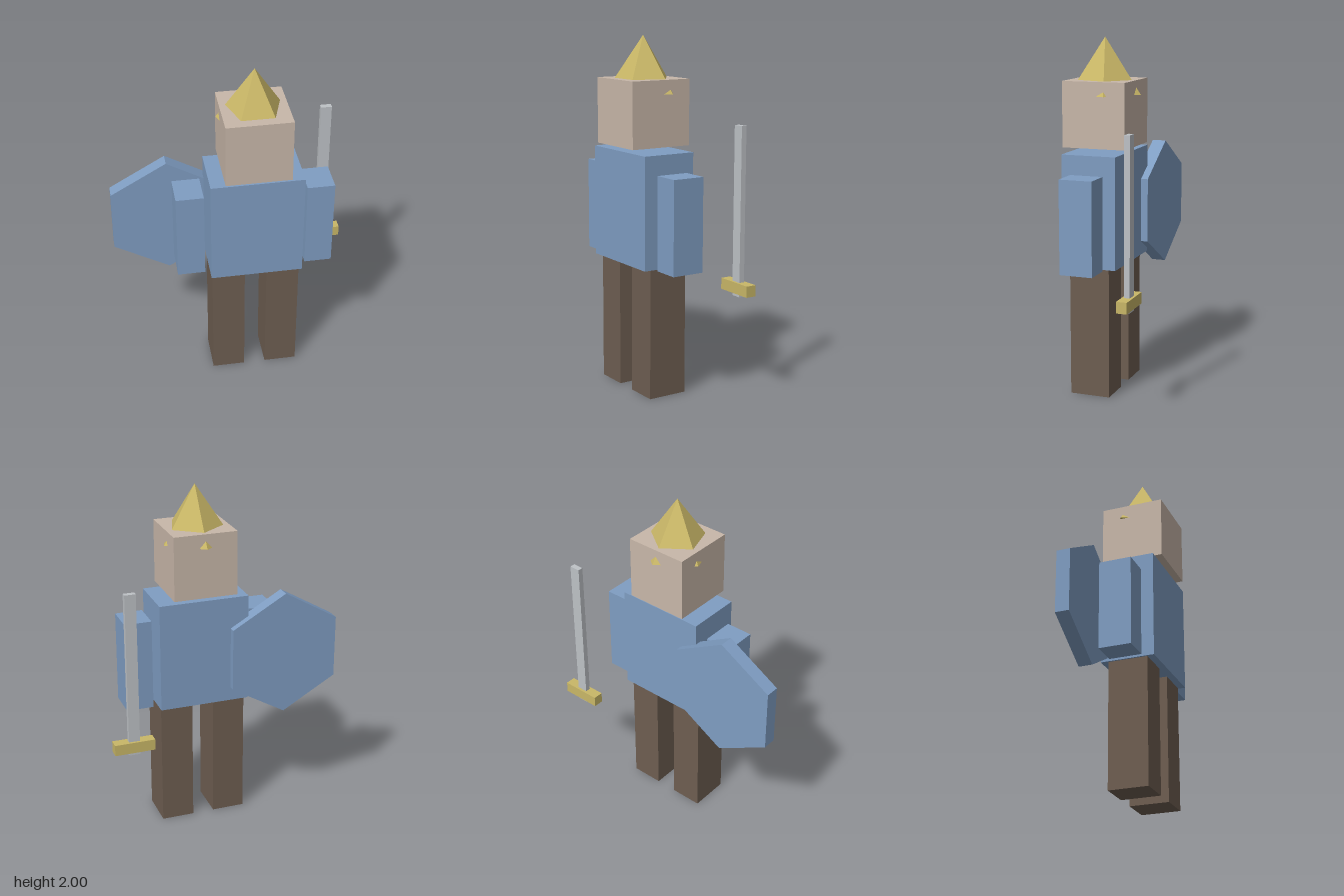
import * as THREE from 'three';

export function createModel() {
  const model = new THREE.Group();
  model.name = 'blockKnight';

  const material = (name, color) => {
    const m = new THREE.MeshStandardMaterial({ color });
    m.name = name;
    return m;
  };
  const blue = material('blue cloth', 0x7f9dc2);
  const brown = material('brown trousers', 0x6e5e51);
  const skin = material('skin', 0xc8b7a9);
  const gold = material('gold', 0xc9b767);
  const steel = material('steel', 0xbec2c6);
  gold.flatShading = true;
  blue.flatShading = true;

  const add = (name, geometry, mat, x, y, z, parent = model) => {
    const mesh = new THREE.Mesh(geometry, mat);
    mesh.name = name;
    mesh.position.set(x, y, z);
    parent.add(mesh);
    return mesh;
  };
  const box = (name, mat, w, h, d, x, y, z, parent) =>
    add(name, new THREE.BoxGeometry(w, h, d), mat, x, y, z, parent);

  // Body, mirrored about its own centre line
  const cx = 0.098, cz = 0.081;
  box('torso', blue, 0.525, 0.63, 0.315, cx, 1.055, cz);
  box('head', skin, 0.367, 0.367, 0.367, cx, 1.581, cz);
  for (const [side, s] of [['left', 1], ['right', -1]]) {
    box(side + 'Arm', blue, 0.157, 0.525, 0.189, cx + s * 0.369, 1.002, cz);
    box(side + 'Leg', brown, 0.189, 0.742, 0.231, cx + s * 0.158, 0.371, cz);
  }

  // Five-sided crown, its lower corners poking through the head
  const crown = add('crown', new THREE.ConeGeometry(0.21, 0.315, 5), gold, cx, 1.8425, cz);
  crown.rotation.y = Math.PI;

  // Hexagonal shield behind the right arm
  const shieldShape = new THREE.CylinderGeometry(0.366, 0.366, 0.08, 6).rotateX(Math.PI / 2);
  add('shield', shieldShape, blue, -0.375, 1.003, -0.077);

  // Sword behind the left arm
  const sword = new THREE.Group();
  sword.name = 'sword';
  sword.position.set(0.573, 0, -0.236);
  box('blade', steel, 0.063, 0.945, 0.031, 0, 1.056, 0, sword);
  box('crossguard', gold, 0.231, 0.063, 0.06, 0, 0.634, 0, sword);
  model.add(sword);

  return model;
}
